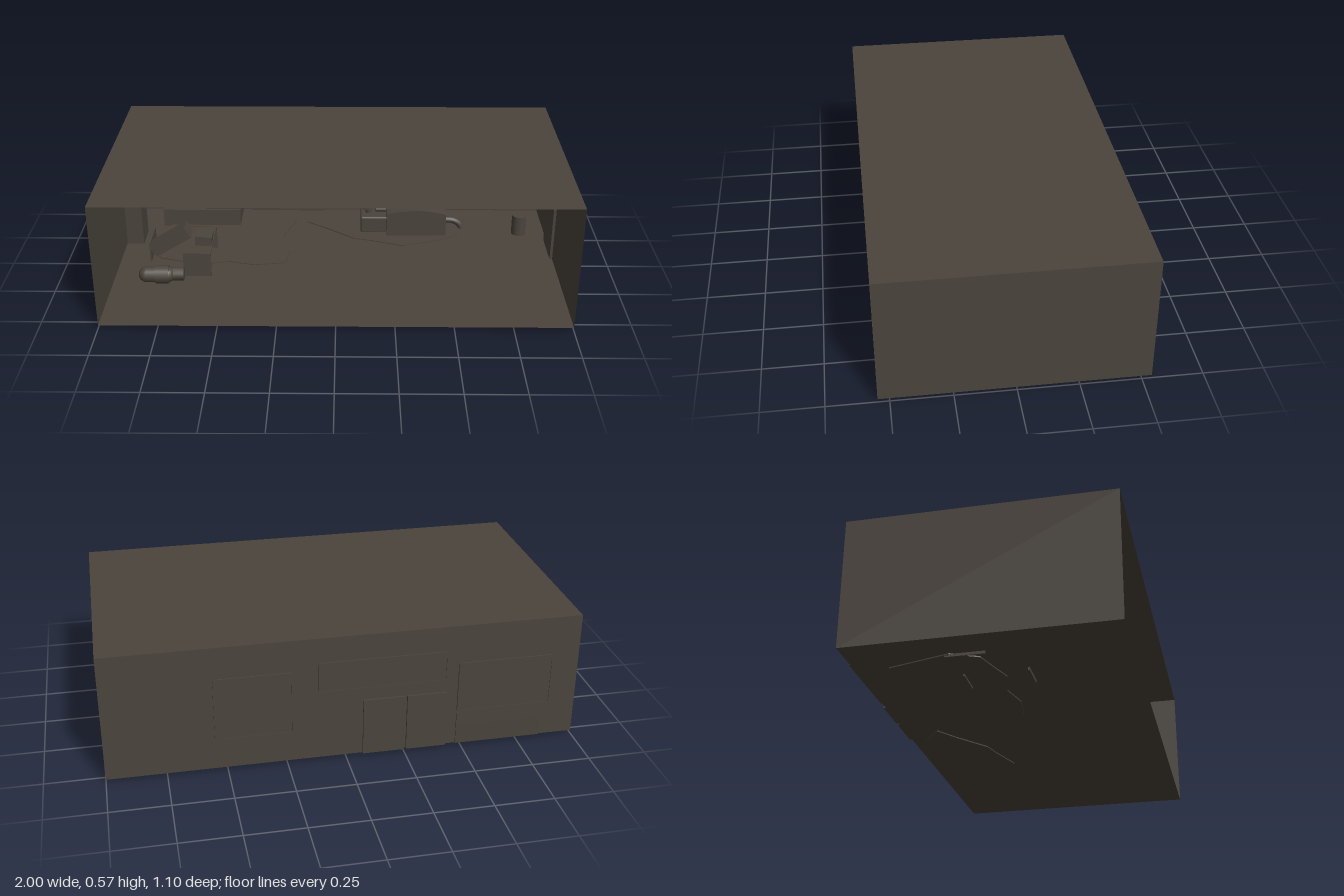
import * as THREE from 'three';
import { RoundedBoxGeometry } from 'three/addons/geometries/RoundedBoxGeometry.js';

export function createModel() {
  const model = new THREE.Group();
  const brown = new THREE.MeshStandardMaterial({ color: 0x4a443c, side: THREE.DoubleSide });
  brown.name = 'dark brown';

  const add = (name, geometry, x = 0, y = 0, z = 0, rx = 0, ry = 0, rz = 0) => {
    const mesh = new THREE.Mesh(geometry, brown);
    mesh.name = name;
    mesh.position.set(x, y, z);
    mesh.rotation.set(rx, ry, rz);
    model.add(mesh);
    return mesh;
  };
  // Box given by its extents on each axis
  const block = (name, x0, x1, y0, y1, z0, z1) =>
    add(name, new THREE.BoxGeometry(x1 - x0, y1 - y0, z1 - z0),
      (x0 + x1) / 2, (y0 + y1) / 2, (z0 + z1) / 2);

  // Room shell, open at the front
  const floorY = 0.014, topY = 0.57, back = -0.54, front = 0.547;
  const h = topY - floorY, d = front - back, midY = (topY + floorY) / 2, midZ = (front + back) / 2;
  add('floor', new THREE.PlaneGeometry(2, d), 0, floorY, midZ, -Math.PI / 2);
  add('ceiling', new THREE.PlaneGeometry(2, d), 0, topY, midZ, -Math.PI / 2);
  add('backWall', new THREE.PlaneGeometry(2, h), 0, midY, back);
  for (const s of [-1, 1])
    add(s < 0 ? 'rightWall' : 'leftWall', new THREE.PlaneGeometry(d, h), s, midY, midZ, 0, s * Math.PI / 2);

  // Rounded window frames and panes on the outside of the back wall
  const roundRect = (Type, w, hh, r) => {
    const s = new Type(), a = w / 2 - r, b = hh / 2 - r;
    s.absarc(a, b, r, 0, Math.PI / 2);
    s.absarc(-a, b, r, Math.PI / 2, Math.PI);
    s.absarc(-a, -b, r, Math.PI, Math.PI * 1.5);
    s.absarc(a, -b, r, Math.PI * 1.5, Math.PI * 2);
    s.closePath();
    return s;
  };
  for (const [x0, x1, y0, y1] of [[0.22, 0.55, 0.145, 0.43], [-0.43, 0.12, 0.32, 0.46], [-0.89, -0.475, 0.165, 0.4]]) {
    const w = x1 - x0, hh = y1 - y0, cx = (x0 + x1) / 2, cy = (y0 + y1) / 2;
    const frame = roundRect(THREE.Shape, w, hh, 0.016);
    frame.holes.push(roundRect(THREE.Path, w - 0.02, hh - 0.02, 0.01));
    add('windowFrame', new THREE.ExtrudeGeometry(frame, { depth: 0.007, bevelEnabled: false, curveSegments: 4 }), cx, cy, -0.547);
    add('windowPane', new THREE.BoxGeometry(w - 0.02, hh - 0.02, 0.004), cx, cy, -0.542);
  }

  // Doors
  block('backDoor', -0.43, -0.257, floorY, 0.27, -0.55, -0.53);
  block('backDoor', -0.247, -0.07, floorY, 0.27, -0.55, -0.53);
  block('sideDoor', 0.988, 1, floorY, 0.27, -0.23, -0.04);
  block('locker', -0.998, -0.92, floorY, 0.27, -0.3, -0.17);

  // Irregular floor patches
  const patch = (points) => {
    const shape = new THREE.Shape(points.map(([x, z]) => new THREE.Vector2(x, -z)));
    add('floorPatch', new THREE.ExtrudeGeometry(shape, { depth: 0.009, bevelEnabled: false }), 0, 0.009, 0, -Math.PI / 2);
  };
  patch([[-0.15, -0.4], [-0.06, -0.34], [0.08, -0.23], [0.16, -0.21], [0.31, -0.16], [0.47, -0.21],
    [0.58, -0.27], [0.6, -0.36], [0.63, -0.45], [0.5, -0.5], [0.2, -0.52], [-0.05, -0.48]]);
  patch([[-0.87, -0.14], [-0.82, -0.03], [-0.72, 0], [-0.63, 0.03], [-0.5, 0], [-0.38, 0.03], [-0.24, 0.01],
    [-0.22, -0.1], [-0.26, -0.25], [-0.2, -0.42], [-0.35, -0.5], [-0.6, -0.47], [-0.8, -0.4]]);

  // Couch against the back wall
  block('couchSeat', -0.85, -0.475, floorY, 0.1, -0.545, -0.36);
  block('couchBack', -0.85, -0.475, 0.1, 0.165, -0.545, -0.48);
  block('couchCushion', -0.64, -0.48, 0.1, 0.13, -0.48, -0.37);

  // Low table with plate legs and things resting on it
  for (const z of [-0.13, 0.13]) block('tableLeg', -0.69, -0.565, 0, 0.13, z - 0.003, z + 0.003);
  block('tableTop', -0.69, -0.565, 0.123, 0.129, -0.13, 0.13);
  add('smallBox', new THREE.BoxGeometry(0.075, 0.045, 0.08), -0.605, 0.152, 0.02, 0, 0, -0.1);

  // Toppled panel leaning beside the table
  add('leaningPanel', new THREE.BoxGeometry(0.19, 0.055, 0.08), -0.755, 0.145, 0.02, 0, 0, 0.55);
  block('uprightPlate', -0.863, -0.857, 0.002, 0.11, -0.16, 0);

  // Rolled bundle on the floor
  const roll = new THREE.CapsuleGeometry(0.036, 0.09, 6, 16);
  add('roll', roll, -0.8, 0.062, 0.2, 0, 0, Math.PI / 2);
  add('rollBand', new THREE.CylinderGeometry(0.041, 0.041, 0.06, 16), -0.775, 0.062, 0.2, 0, 0, Math.PI / 2);
  add('rollEnd', new THREE.CylinderGeometry(0.03, 0.03, 0.06, 12), -0.71, 0.06, 0.19, 0, 0, Math.PI / 2);

  // Machine with a domed body, valve block and bent pipe
  const dome = new THREE.Shape();
  dome.moveTo(0.235, floorY);
  dome.lineTo(0.52, floorY);
  dome.lineTo(0.52, 0.13);
  dome.quadraticCurveTo(0.38, 0.17, 0.235, 0.13);
  dome.closePath();
  add('machineBody', new THREE.ExtrudeGeometry(dome, { depth: 0.18, bevelEnabled: false }), 0, 0, -0.44);
  add('valveBlock', new RoundedBoxGeometry(0.13, 0.085, 0.12, 2, 0.008), 0.177, 0.057, -0.35);
  add('valveStem', new THREE.CylinderGeometry(0.015, 0.015, 0.04, 12), 0.15, 0.115, -0.35);
  add('valveKnob', new THREE.CylinderGeometry(0.036, 0.036, 0.014, 16), 0.15, 0.133, -0.35);
  add('connector', new THREE.CylinderGeometry(0.012, 0.012, 0.06, 12), 0.215, 0.115, -0.35, 0, 0, Math.PI / 2);
  const bend = new THREE.CatmullRomCurve3([[0.51, 0.06], [0.56, 0.057], [0.59, 0.04], [0.603, 0.016]]
    .map(([x, y]) => new THREE.Vector3(x, y, -0.35)));
  add('bentPipe', new THREE.TubeGeometry(bend, 12, 0.016, 10));

  // Bin and ceiling lamps
  add('bin', new THREE.CylinderGeometry(0.034, 0.034, 0.097, 20), 0.875, 0.063, -0.3);
  for (const x of [-0.725, -0.025, 0.575])
    add('ceilingLamp', new THREE.CylinderGeometry(0.025, 0.02, 0.024, 16), x, 0.557, 0);

  return model;
}
